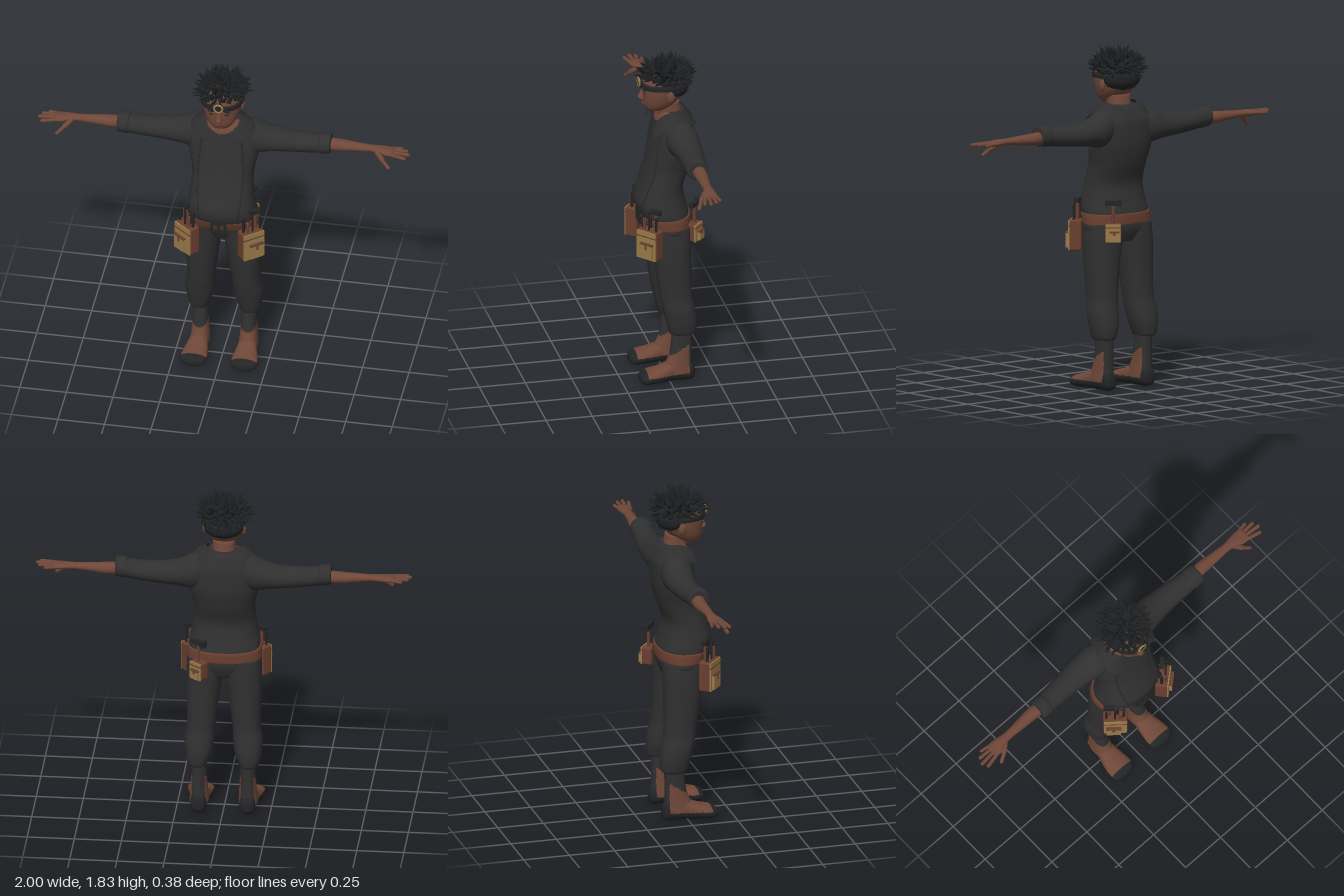
import * as THREE from 'three';
import { mergeGeometries } from 'three/addons/utils/BufferGeometryUtils.js';
import { RoundedBoxGeometry } from 'three/addons/geometries/RoundedBoxGeometry.js';

const flat = (name, color, side = THREE.FrontSide) => {
  const m = new THREE.MeshStandardMaterial({ color, side });
  m.name = name;
  return m;
};

// Rings are [t, aMin, aMax, bMin, bMax]; smooth interpolation between them
function ringAt(rings, u) {
  const f = u * (rings.length - 1), i = Math.min(Math.floor(f), rings.length - 2), s = f - i;
  const g = k => rings[Math.max(0, Math.min(rings.length - 1, k))];
  return g(i).map((_, c) => {
    const [p, q, r, w] = [g(i - 1)[c], g(i)[c], g(i + 1)[c], g(i + 2)[c]];
    return q + 0.5 * s * (r - p + s * (2 * p - 5 * q + 4 * r - w + s * (3 * (q - r) + w - p)));
  });
}

// Closed body through superellipse rings along 'x' (a=y,b=z), 'y' (a=x,b=z) or 'z' (a=x,b=y)
function loft(axis, rings, { p = 2.3, segs = 32, per = 5 } = {}) {
  const pos = [], idx = [], rows = (rings.length - 1) * per;
  const put = (t, a, b) => pos.push(...(axis === 'x' ? [t, a, b] : axis === 'y' ? [a, t, b] : [a, b, t]));
  const tri = (a, b, c) => (axis === 'y' ? idx.push(a, c, b) : idx.push(a, b, c));
  const pw = v => Math.sign(v) * Math.abs(v) ** (2 / p);
  for (let i = 0; i <= rows; i++) {
    const [t, a0, a1, b0, b1] = ringAt(rings, i / rows);
    for (let j = 0; j < segs; j++) {
      const th = (j / segs) * Math.PI * 2;
      put(t, (a0 + a1) / 2 + pw(Math.cos(th)) * (a1 - a0) / 2, (b0 + b1) / 2 + pw(Math.sin(th)) * (b1 - b0) / 2);
    }
  }
  for (let i = 0; i < rows; i++) for (let j = 0; j < segs; j++) {
    const a = i * segs + j, b = i * segs + (j + 1) % segs;
    tri(a, b, b + segs);
    tri(a, b + segs, a + segs);
  }
  for (const [r, base] of [[rings[0], 0], [rings.at(-1), rows * segs]]) {
    const c = pos.length / 3;
    put(r[0], (r[1] + r[2]) / 2, (r[3] + r[4]) / 2);
    for (let j = 0; j < segs; j++) {
      const a = base + j, b = base + (j + 1) % segs;
      base ? tri(a, b, c) : tri(b, a, c);
    }
  }
  const g = new THREE.BufferGeometry();
  g.setAttribute('position', new THREE.Float32BufferAttribute(pos, 3));
  g.setIndex(idx);
  g.computeVertexNormals();
  return g;
}

// Shorthand for 'y' rings that are symmetric in x: [y, halfWidth, back, front]
const sym = rows => rows.map(([y, w, b, f]) => [y, -w, w, b, f]);

// Front surface height of a symmetric 'y' loft
function frontZ(rings, x, y, p = 2.3) {
  let best = rings[0];
  for (let i = 0; i <= 300; i++) {
    const r = ringAt(rings, i / 300);
    if (Math.abs(r[0] - y) < Math.abs(best[0] - y)) best = r;
  }
  const k = Math.max(0, 1 - Math.abs(x / best[2]) ** p) ** (1 / p);
  return (best[3] + best[4]) / 2 + k * (best[4] - best[3]) / 2;
}

// Split faces into two material groups by a rule on their centre
function paint(g, rule) {
  const P = g.attributes.position, I = g.index.array, sets = [[], []];
  for (let i = 0; i < I.length; i += 3) {
    const t = [I[i], I[i + 1], I[i + 2]], mid = f => t.reduce((s, v) => s + P[f](v), 0) / 3;
    sets[rule(mid('getX'), mid('getY'), mid('getZ')) ? 1 : 0].push(...t);
  }
  g.setIndex([...sets[0], ...sets[1]]);
  g.addGroup(0, sets[0].length, 0);
  g.addGroup(sets[0].length, sets[1].length, 1);
  return g;
}

function mirrored(src) {
  const g = src.clone().scale(-1, 1, 1);
  const I = g.index ? [...g.index.array] : [...Array(g.attributes.position.count).keys()];
  for (let i = 0; i < I.length; i += 3) [I[i], I[i + 2]] = [I[i + 2], I[i]];
  g.setIndex(I);
  return g;
}

const ball = (x, y, z, rx, ry, rz) => new THREE.SphereGeometry(1, 24, 16).scale(rx, ry, rz).translate(x, y, z);
const box = (w, h, d, x, y, z) => new THREE.BoxGeometry(w, h, d).translate(x, y, z);
const UP = new THREE.Vector3(0, 1, 0);
function finger(a, b, r) {
  const A = new THREE.Vector3(...a), d = new THREE.Vector3(...b).sub(A), L = d.length();
  return new THREE.CapsuleGeometry(r, L - r, 4, 10).translate(0, L / 2 - r / 2, 0)
    .applyQuaternion(new THREE.Quaternion().setFromUnitVectors(UP, d.normalize())).translate(...a);
}

export function createModel() {
  const root = new THREE.Group();
  root.name = 'worker';
  const cloth = flat('charcoal cloth', 0x303030), shirt = flat('dark shirt', 0x2c2c2c);
  const collarCloth = flat('collar cloth', 0x2d2d2d, THREE.DoubleSide);
  const skin = flat('skin', 0x6e4738), lip = flat('lips', 0x5c372f), hair = flat('hair', 0x1e2022);
  const leather = flat('brown leather', 0x693f2f), tan = flat('tan canvas', 0x9a7b49), metal = flat('dark metal', 0x232426);
  const add = (name, g, mat, both = false) => {
    for (const geo of both ? [g, mirrored(g)] : [g]) {
      const m = new THREE.Mesh(geo, mat);
      m.name = both ? (geo === g ? 'left ' : 'right ') + name : name;
      root.add(m);
    }
  };

  // Jacket with shirt front and neckline
  const torso = sym([[.94, .188, -.125, .14], [.97, .187, -.118, .152], [1.02, .178, -.105, .156], [1.1, .167, -.095, .132],
    [1.2, .165, -.128, .103], [1.3, .185, -.15, .08], [1.4, .195, -.152, .06], [1.45, .175, -.145, .052],
    [1.485, .135, -.13, .042], [1.52, .08, -.1, .02]]);
  const body = paint(loft('y', torso, { segs: 72, per: 8 }), (x, y, z) => z > -.02 && y > 1.457 + 7 * x * x);
  add('jacket', body, [cloth, skin]);
  const edge = [], panelX = y => .1 + .02 * Math.sin((y - .95) * 6);
  for (let y = .945; y < 1.46; y += .04) edge.push(new THREE.Vector3(panelX(y), y, frontZ(torso, panelX(y), y) + .001));
  add('jacket edge', new THREE.TubeGeometry(new THREE.CatmullRomCurve3(edge), 40, .005, 6), shirt, true);

  // Collar: a folded ribbon from the nape to the lapel points
  const curve = pts => new THREE.CatmullRomCurve3(pts.map(p => new THREE.Vector3(...p)));
  const top = curve([[0, 1.5, -.118], [.07, 1.522, -.085], [.095, 1.532, -.025], [.088, 1.505, .04], [.08, 1.45, .075]]);
  const low = curve([[0, 1.44, -.16], [.1, 1.455, -.15], [.168, 1.482, -.05], [.166, 1.455, .03], [.145, 1.415, .085]]);
  const cp = [], ci = [], N = 24;
  for (let i = 0; i <= N; i++) {
    const a = top.getPoint(i / N), b = low.getPoint(i / N), m = a.clone().lerp(b, .5).add(new THREE.Vector3(0, .012, 0));
    for (const v of [a, m, b]) cp.push(v.x, v.y, v.z);
    if (i < N) for (const k of [0, 1]) {
      const s = i * 3 + k;
      ci.push(s, s + 3, s + 1, s + 1, s + 3, s + 4);
    }
  }
  const collar = new THREE.BufferGeometry();
  collar.setAttribute('position', new THREE.Float32BufferAttribute(cp, 3));
  collar.setIndex(ci.reverse().slice());
  collar.computeVertexNormals();
  // Leaf faces must look outward
  if (collar.attributes.normal.getY(3 * 12 + 1) < 0) { collar.setIndex(ci.reverse()); collar.computeVertexNormals(); }
  add('collar', collar, collarCloth, true);

  // Sleeves, cuffs, forearms and hands
  add('sleeve', loft('x', [[.1, 1.32, 1.5, -.13, .02], [.16, 1.3, 1.492, -.148, .025], [.24, 1.315, 1.458, -.148, .012],
    [.34, 1.324, 1.441, -.138, 0], [.45, 1.334, 1.44, -.124, -.002], [.53, 1.345, 1.445, -.112, -.002]], { p: 2 }), cloth, true);
  add('cuff', loft('x', [[.51, 1.345, 1.444, -.113, -.003], [.52, 1.34, 1.452, -.116, .003], [.565, 1.345, 1.453, -.113, .002],
    [.573, 1.353, 1.445, -.105, -.006]], { p: 2 }), cloth, true);
  add('forearm', loft('x', [[.54, 1.357, 1.425, -.096, -.026], [.62, 1.357, 1.42, -.099, -.03], [.7, 1.365, 1.415, -.09, -.033],
    [.78, 1.373, 1.41, -.083, -.036], [.83, 1.373, 1.409, -.088, -.028], [.87, 1.373, 1.405, -.093, -.012],
    [.91, 1.377, 1.402, -.09, -.012]], { p: 2 }), skin, true);
  add('hand', mergeGeometries([
    finger([.89, 1.389, -.022], [.982, 1.384, -.002], .0105), finger([.89, 1.39, -.043], [.999, 1.39, -.033], .0105),
    finger([.89, 1.39, -.063], [.985, 1.39, -.066], .01), finger([.88, 1.388, -.081], [.953, 1.386, -.093], .009),
    finger([.82, 1.385, -.04], [.862, 1.348, -.006], .015), finger([.858, 1.352, -.008], [.897, 1.316, .012], .0105)]), skin, true);

  // Trousers
  add('hips', loft('y', sym([[.79, .11, -.1, .06], [.85, .192, -.123, .093], [.9, .195, -.123, .105], [.95, .183, -.115, .125]])), cloth);
  add('trouser leg', loft('y', [[.275, .086, .184, -.134, -.002], [.29, .08, .193, -.143, .004], [.35, .06, .204, -.146, .02],
    [.42, .05, .207, -.136, .036], [.5, .045, .196, -.122, .052], [.7, .02, .2, -.12, .08], [.8, .004, .2, -.122, .09],
    [.89, .004, .193, -.12, .1]]), cloth, true);

  // Wrapped ankles and feet
  add('ankle', paint(loft('y', [[.05, .078, .182, -.12, .04], [.1, .082, .177, -.12, .022], [.15, .086, .174, -.119, 0],
    [.22, .088, .171, -.12, -.01], [.31, .092, .173, -.125, -.02]], { segs: 48, per: 10 }),
  (x, y, z) => z > -.102 && y < .15 - .65 * z), [cloth, skin], true);
  add('foot', paint(loft('z', [[-.134, .11, .15, .025, .075], [-.115, .09, .17, .004, .105], [-.05, .084, .176, .002, .13],
    [0, .08, .182, .002, .112], [.06, .07, .198, .002, .086], [.12, .064, .206, .002, .07], [.15, .078, .193, .006, .058],
    [.163, .11, .168, .018, .04]], { segs: 48, per: 8 }),
  (x, y, z) => y > .047 && z > -.1 && z < .125), [metal, skin], true);

  // Belt and buckle
  add('belt', loft('y', sym([[.882, .197, -.128, .114], [.89, .2, -.133, .12], [.935, .197, -.133, .14], [.942, .192, -.128, .137]])), leather);
  add('buckle', mergeGeometries([box(.085, .012, .012, 0, .938, .14), box(.085, .012, .012, 0, .886, .135),
    ...[-.036, 0, .036].map(x => box(.012, .058, .014, x, .912, .138))]), metal);

  // Pouch built facing +z, then turned outward and set on the belt
  const pouch = (name, w, h, d, place, both) => {
    add(name, place(new RoundedBoxGeometry(w, h, d, 2, .012)), leather, both);
    add(name + ' front', place(box(w * .94, h * .94, .008, 0, 0, d / 2)), tan, both);
    add(name + ' pocket', place(box(w * .58, h * .48, .022, w * .08, -h * .17, d / 2 + .008)), tan, both);
    add(name + ' pocket trim', place(mergeGeometries([box(w * .62, .008, .026, w * .08, h * .075, d / 2 + .008),
      box(.012, h * .2, .026, w * .08, h * .0, d / 2 + .009)])), leather, both);
    add(name + ' flap seam', place(box(w * .96, .006, .012, 0, h * .3, d / 2)), leather, both);
  };
  const front = g => g.rotateY(.7).translate(.17, .82, .112);
  pouch('front pouch', .13, .168, .068, front, true);
  const rod = (r, y0, y1, x, z) => new THREE.CylinderGeometry(r, r, y1 - y0, 10).translate(x, (y0 + y1) / 2, z);
  add('pouch tools', front(mergeGeometries([rod(.008, .03, .17, -.045, 0), rod(.006, .03, .19, .002, .015), rod(.007, .03, .16, .048, .01),
    rod(.01, .03, .14, -.012, -.015), box(.06, .024, .024, .032, .185, -.008)])), metal, true);
  add('tool handles', front(mergeGeometries([rod(.009, .03, .176, .032, -.008), rod(.009, .03, .145, -.028, .014)])), leather, true);
  const rear = g => g.rotateY(2.44).translate(.122, .85, -.133);
  pouch('rear pouch', .085, .1, .058, rear, false);
  add('hammer handle', rear(rod(.009, 0, .16, 0, .005)), leather);
  add('hammer head', rear(mergeGeometries([box(.085, .024, .026, 0, .158, .005), box(.02, .036, .034, .036, .158, .005)])), metal);

  // Neck, head and face
  add('neck', loft('y', sym([[1.44, .078, -.11, .03], [1.5, .063, -.092, .036], [1.57, .06, -.08, .045]])), skin);
  const head = sym([[1.52, .03, .03, .085], [1.533, .056, -.01, .1], [1.56, .078, -.05, .112], [1.6, .094, -.09, .117],
    [1.65, .102, -.11, .12], [1.7, .1, -.112, .113], [1.74, .08, -.095, .085], [1.765, .04, -.06, .04]]);
  add('head', loft('y', head), skin);
  add('nose', loft('y', [[1.583, -.014, .014, .1, .124], [1.59, -.021, .021, .1, .136], [1.6, -.019, .019, .1, .143],
    [1.625, -.011, .011, .1, .131], [1.65, -.009, .009, .1, .12]], { p: 2, segs: 16 }), skin);
  add('lips', mergeGeometries([ball(0, 1.569, .113, .027, .005, .009), ball(0, 1.56, .111, .023, .006, .01)]), lip);
  add('eye', ball(.039, 1.632, frontZ(head, .039, 1.632), .015, .0045, .003), metal, true);
  add('eyebrow', ball(.041, 1.65, frontZ(head, .041, 1.65), .022, .0045, .004), hair, true);
  add('ear', ball(.104, 1.622, -.015, .012, .03, .02).rotateZ(0), skin, true);

  // Hair: a cap covered with bent tufts
  let seed = 7;
  const rnd = () => (seed = (seed * 16807) % 2147483647) / 2147483647;
  const tufts = [ball(0, 1.7, -.012, .11, .072, .118), ball(0, 1.652, -.05, .106, .062, .08)];
  for (let i = 0; i < 260; i++) {
    const y = 1 - 1.75 * (i + .5) / 260, r = Math.sqrt(1 - y * y), a = i * 2.39996;
    const n = new THREE.Vector3(Math.cos(a) * r, y, Math.sin(a) * r);
    const low = y < .05;
    if (low && n.z > -.15) continue;
    const h = low ? .03 + .015 * rnd() : .05 + .03 * rnd(), bend = .025 * (rnd() - .3);
    const g = new THREE.ConeGeometry(.019, h, 6, 3).translate(0, h / 2, 0).scale(1, 1, .6);
    const P = g.attributes.position;
    for (let k = 0; k < P.count; k++) P.setX(k, P.getX(k) + bend * (P.getY(k) / h) ** 2);
    g.computeVertexNormals();
    const dir = n.clone().add(new THREE.Vector3(rnd() - .5, (rnd() - .5) * .8, rnd() - .5).multiplyScalar(1.1)).normalize();
    g.rotateY(rnd() * 6.28).applyQuaternion(new THREE.Quaternion().setFromUnitVectors(UP, dir));
    tufts.push(g.translate(n.x * .1, 1.698 + n.y * (low ? .1 : .065), -.012 + n.z * .106));
  }
  add('hair', mergeGeometries(tufts), hair);

  // Headband with lamp
  add('headband', loft('y', sym([[1.658, .11, -.125, .124], [1.662, .115, -.13, .129], [1.682, .115, -.13, .129], [1.686, .11, -.125, .124]]), { per: 2 }), metal);
  add('lamp rim', new THREE.TorusGeometry(.022, .006, 8, 24).translate(0, 1.685, .137), tan);
  add('lamp body', new THREE.CylinderGeometry(.021, .024, .02, 20).rotateX(Math.PI / 2).translate(0, 1.685, .13), metal);
  add('lamp clip', box(.018, .024, .012, .045, 1.676, .122), metal, true);
  return root;
}
